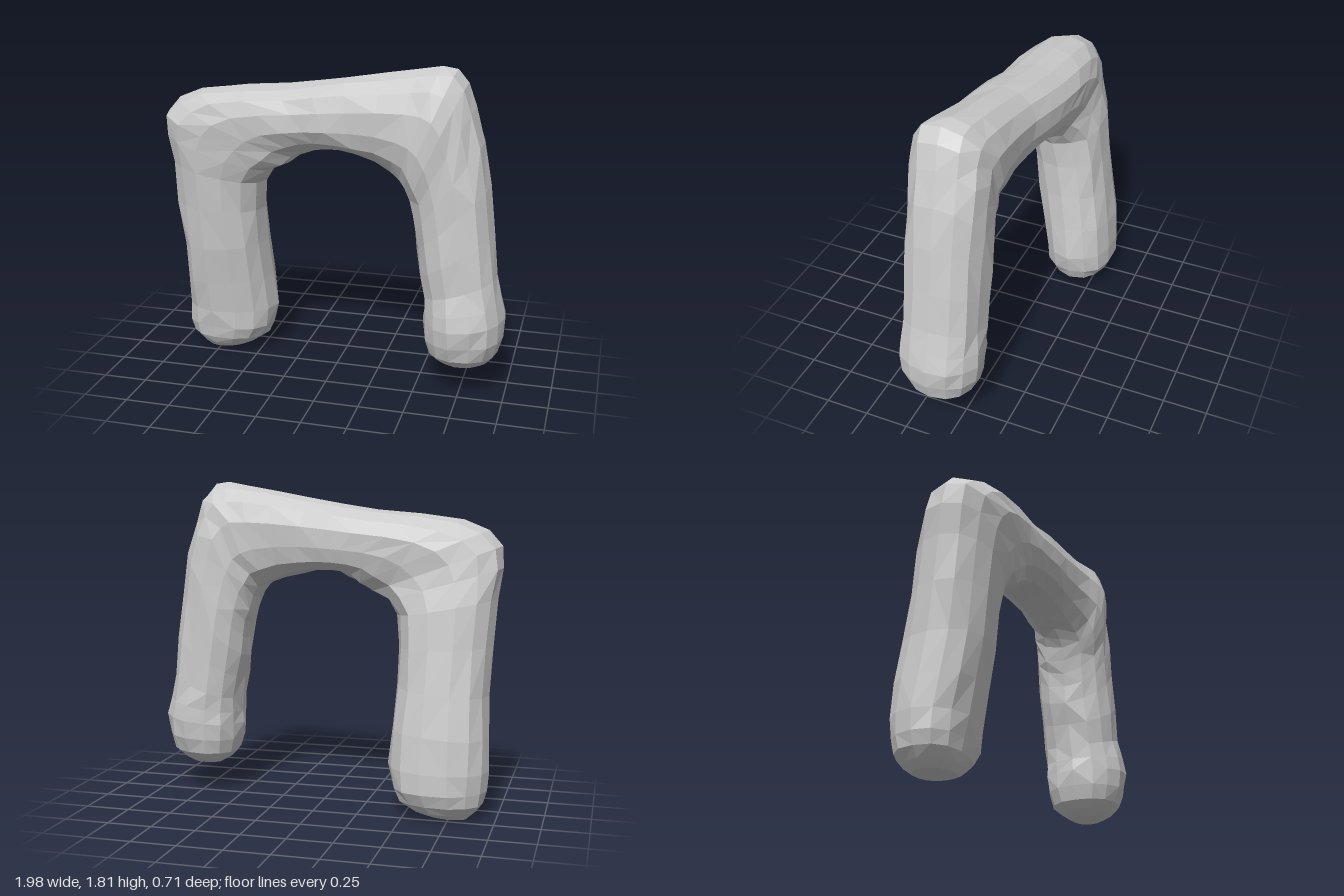
import * as THREE from 'three';

// Key cross-sections along the arch: outer x, y, inner x, y, centre z, half depth
const KEYS = [
  // right foot and leg
  [-0.85, 0.01, -0.59, 0.03, -0.14, 0.10],
  [-0.93, 0.10, -0.47, 0.10, -0.15, 0.18],
  [-0.96, 0.28, -0.41, 0.29, -0.15, 0.21],
  [-0.945, 0.68, -0.44, 0.72, -0.09, 0.22],
  [-0.975, 1.20, -0.43, 1.10, -0.03, 0.215],
  // right corner and beam
  [-0.99, 1.48, -0.27, 1.22, 0.01, 0.205],
  [-0.78, 1.62, -0.14, 1.30, 0.01, 0.22],
  [-0.30, 1.67, -0.03, 1.33, 0.03, 0.22],
  [0.08, 1.73, 0.15, 1.31, 0.06, 0.205],
  // left corner
  [0.48, 1.80, 0.34, 1.24, 0.09, 0.21],
  [0.68, 1.81, 0.41, 1.14, 0.11, 0.23],
  [0.78, 1.62, 0.46, 1.00, 0.10, 0.225],
  // left leg and foot
  [0.875, 1.20, 0.485, 0.82, 0.10, 0.22],
  [0.93, 0.70, 0.535, 0.56, 0.11, 0.22],
  [0.985, 0.46, 0.535, 0.41, 0.12, 0.235],
  [0.95, 0.25, 0.57, 0.24, 0.12, 0.19],
  [0.84, 0.165, 0.66, 0.165, 0.12, 0.08],
];
const SIDES = 14;
const RINGS = (KEYS.length - 1) * 2 + 1;

// Seeded pseudo-random numbers for the rough surface
function seeded(seed) {
  let s = seed;
  return () => {
    s = (s * 16807) % 2147483647;
    return s / 2147483647;
  };
}

// Squares off an ellipse a little
const boxy = (v) => Math.sign(v) * Math.pow(Math.abs(v), 0.88);

const spline = (points) => new THREE.CatmullRomCurve3(points, false, 'catmullrom', 0.5);

function archGeometry() {
  const rand = seeded(421);
  const positions = [];
  const index = [];
  // outer edge carries the centre z, inner edge carries the half depth
  const outerEdge = spline(KEYS.map((k) => new THREE.Vector3(k[0], k[1], k[4])));
  const innerEdge = spline(KEYS.map((k) => new THREE.Vector3(k[2], k[3], k[5])));

  for (let i = 0; i < RINGS; i++) {
    const outer = outerEdge.getPoint(i / (RINGS - 1));
    const inner = innerEdge.getPoint(i / (RINGS - 1));
    const mx = (outer.x + inner.x) / 2;
    const my = (outer.y + inner.y) / 2;
    for (let j = 0; j < SIDES; j++) {
      const a = (j / SIDES) * Math.PI * 2;
      const rough = 1 + (rand() - 0.5) * 0.07;
      const c = boxy(Math.cos(a)) * (j === 0 ? 1 : rough);
      const s = boxy(Math.sin(a)) * rough;
      positions.push(mx + c * (outer.x - mx), my + c * (outer.y - my), outer.z + s * inner.z);
      if (i === RINGS - 1) continue;
      const p = i * SIDES + j;
      const q = i * SIDES + ((j + 1) % SIDES);
      const r = q + SIDES;
      const t = p + SIDES;
      if (rand() < 0.7) index.push(p, q, r, p, r, t);
      else index.push(p, q, t, q, r, t);
    }
  }

  // close both feet
  const last = (RINGS - 1) * SIDES;
  const pole = RINGS * SIDES;
  positions.push(-0.72, 0.02, -0.14, 0.74, 0.145, 0.12);
  for (let j = 0; j < SIDES; j++) {
    const n = (j + 1) % SIDES;
    index.push(pole, n, j, pole + 1, last + j, last + n);
  }

  const geometry = new THREE.BufferGeometry();
  geometry.setAttribute('position', new THREE.Float32BufferAttribute(positions, 3));
  geometry.setIndex(index);
  geometry.computeVertexNormals();
  return geometry;
}

export function createModel() {
  const group = new THREE.Group();
  group.name = 'stoneArch';
  const stone = new THREE.MeshStandardMaterial({ color: 0xcccccc, flatShading: true });
  const arch = new THREE.Mesh(archGeometry(), stone);
  arch.name = 'archRock';
  group.add(arch);
  return group;
}
